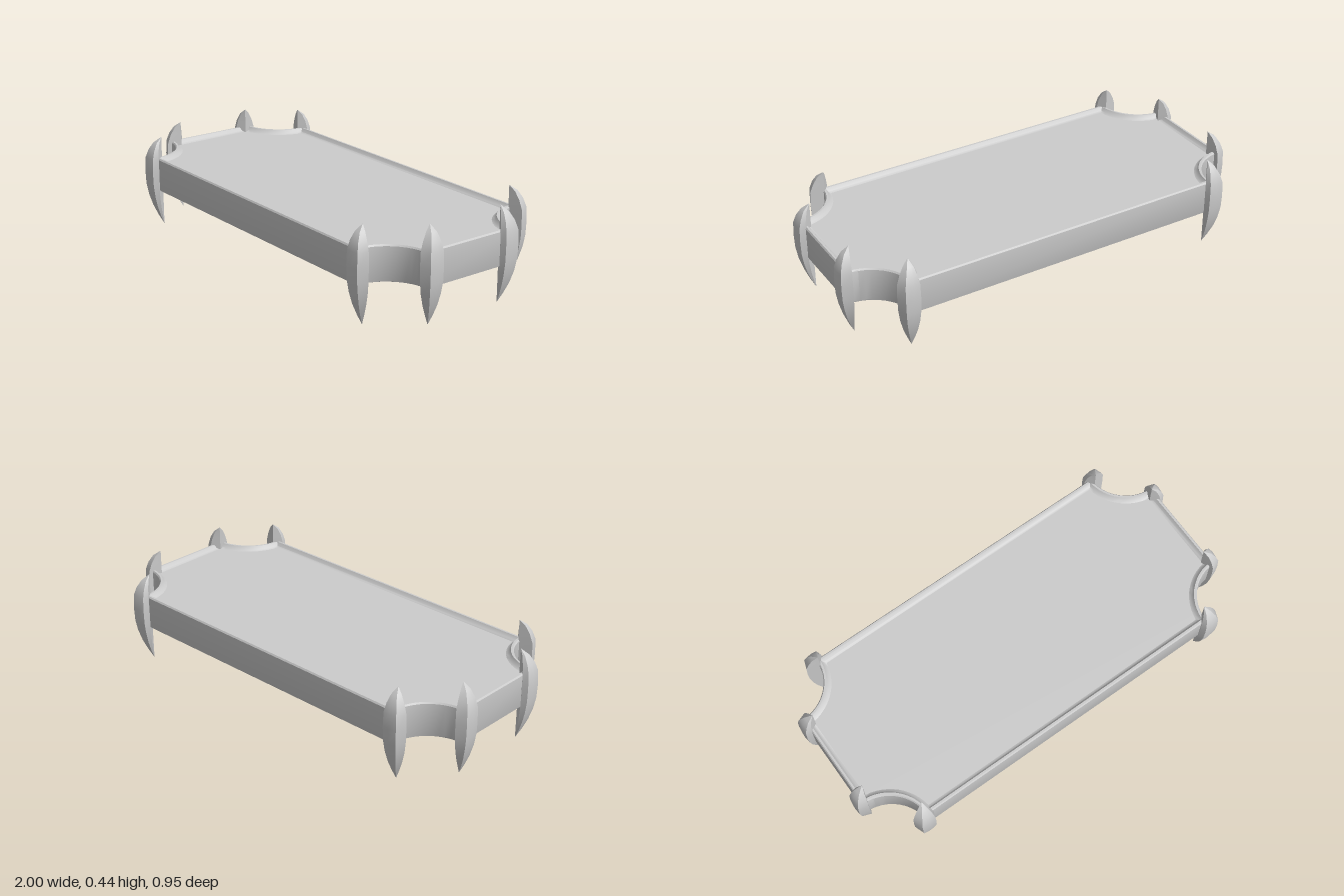
import * as THREE from 'three';
import { toCreasedNormals } from 'three/addons/utils/BufferGeometryUtils.js';

const HALF_X = 0.968, HALF_Z = 0.436, SCOOP = 0.2;
const material = new THREE.MeshStandardMaterial({ color: 0xcccccc });

// Skin over closed rings, listed from outside bottom upwards
function loft(rings, crease) {
  const n = rings[0].length, index = [];
  for (let r = 0; r < rings.length - 1; r++) {
    for (let i = 0; i < n; i++) {
      const a = r * n + i, b = r * n + (i + 1) % n;
      index.push(a, a + n, b, b, a + n, b + n);
    }
  }
  const geometry = new THREE.BufferGeometry().setFromPoints(rings.flat());
  geometry.setIndex(index);
  return toCreasedNormals(geometry, crease);
}

function addMesh(parent, name, geometry) {
  const mesh = new THREE.Mesh(geometry, material);
  mesh.name = name;
  parent.add(mesh);
}

// Rectangle with scooped corners, moved inwards by d
function outline(d) {
  const points = [], steps = 12, radius = SCOOP + d;
  const lean = Math.asin(d / radius);
  [[1, 1], [-1, 1], [-1, -1], [1, -1]].forEach(([sx, sz]) => {
    const corner = [];
    for (let i = 0; i <= steps; i++) {
      const t = lean + (Math.PI / 2 - 2 * lean) * i / steps;
      corner.push(new THREE.Vector2(
        sx * (HALF_X - radius * Math.sin(t)), sz * (HALF_Z - radius * Math.cos(t))));
    }
    if (sx * sz < 0) corner.reverse();
    points.push(...corner);
  });
  return points;
}

// Claw cross-section: u along the edge, n outwards
const SECTION = [[0, 0], [0.065, 0.02], [0.048, 0.066], [0.01, 0.07], [-0.022, 0.066], [-0.031, 0.04]];
// Height, outward scale, sideways scale
const ROWS = [
  [0.004, 0.005, 0.005], [0.05, 0.33, 0.32], [0.1, 0.62, 0.62], [0.155, 0.84, 0.85],
  [0.21, 0.97, 0.97], [0.275, 1, 1], [0.34, 0.96, 0.96], [0.38, 0.78, 0.74],
  [0.415, 0.48, 0.42], [0.44, 0.005, 0.005],
];

function clawGeometry(sx, sz, onEnd) {
  const rings = ROWS.map(([y, out, wide]) => {
    const ring = SECTION.map(([u, n]) => onEnd
      ? new THREE.Vector3(sx * (0.93 + n * out), y, sz * (0.193 + u * wide))
      : new THREE.Vector3(sx * (0.766 + u * wide), y, sz * (0.403 + n * out)));
    return (sx * sz < 0) !== onEnd ? ring.reverse() : ring;
  });
  return loft(rings, 0.5);
}

export function createModel() {
  const group = new THREE.Group();

  // Tray wall and rim
  const profile = [[0.012, 0.178], [0.003, 0.182], [0, 0.19], [0, 0.336], [0.005, 0.343],
    [0.014, 0.343], [0.024, 0.327], [0.034, 0.322]];
  const rings = profile.map(([d, y]) => outline(d).map(p => new THREE.Vector3(p.x, y, p.y)));
  addMesh(group, 'trayRim', loft(rings, 0.6));

  // Flat tray floor and underside
  const floor = new THREE.ShapeGeometry(new THREE.Shape(outline(0.034)));
  addMesh(group, 'trayFloor', floor.rotateX(-Math.PI / 2).translate(0, 0.322, 0));
  const under = new THREE.ShapeGeometry(new THREE.Shape(outline(0.012)));
  addMesh(group, 'trayUnderside', under.rotateX(Math.PI / 2).translate(0, 0.178, 0));

  // A pair of claw feet at each scooped corner
  for (const sx of [1, -1]) {
    for (const sz of [1, -1]) {
      const place = (sz > 0 ? 'front' : 'back') + (sx > 0 ? 'Left' : 'Right');
      addMesh(group, place + 'SideClaw', clawGeometry(sx, sz, false));
      addMesh(group, place + 'EndClaw', clawGeometry(sx, sz, true));
    }
  }
  return group;
}
